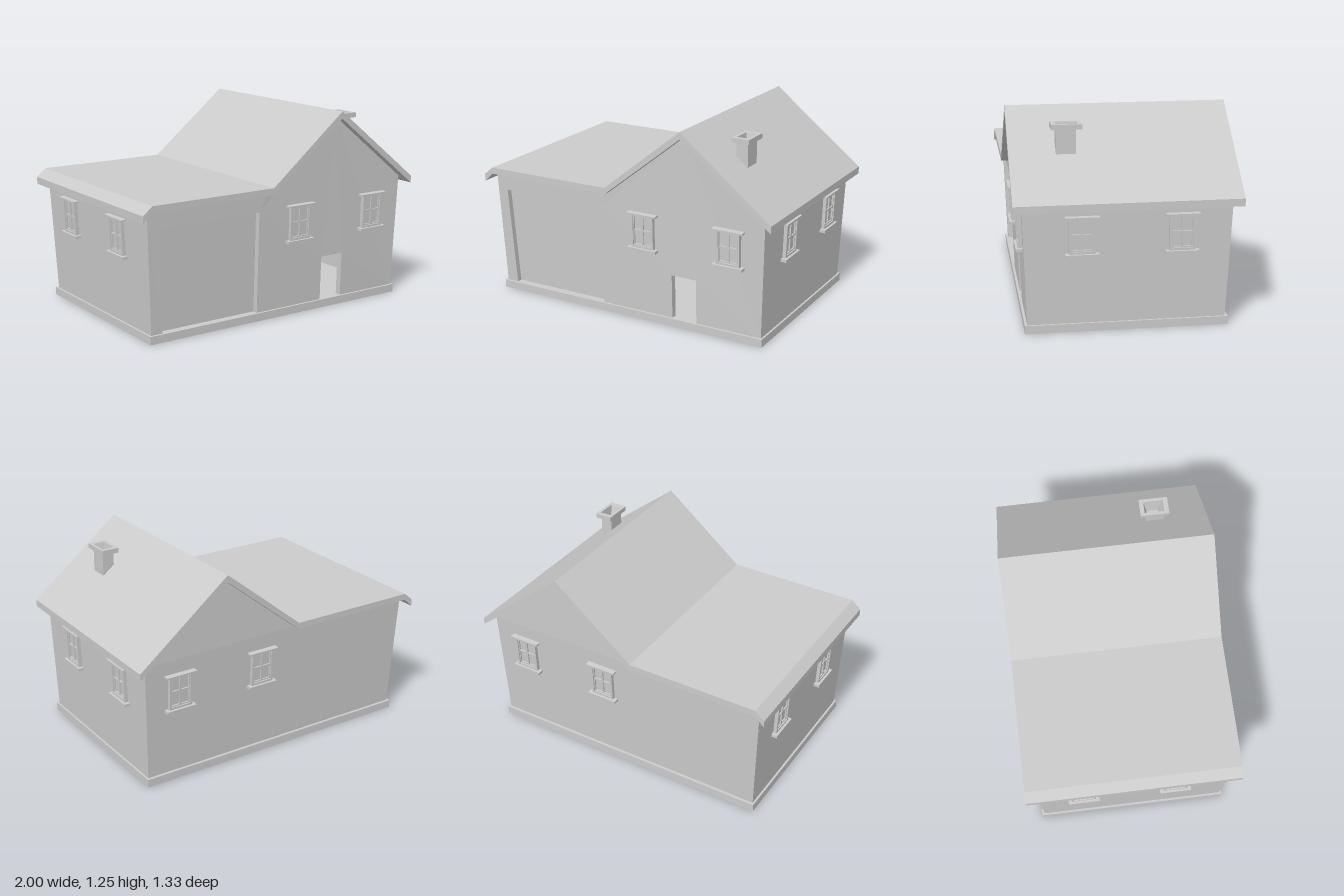
import * as THREE from 'three';

const material = new THREE.MeshStandardMaterial({ color: 0xcccccc, flatShading: true });
const BASE = 0.05, EAVE = 0.78, WALL = 0.04;

function mesh(name, geometry) {
  const m = new THREE.Mesh(geometry, material);
  m.name = name;
  return m;
}

function box(name, w, h, d, x, y, z) {
  const m = mesh(name, new THREE.BoxGeometry(w, h, d));
  m.position.set(x, y, z);
  return m;
}

const shapeOf = (points) => new THREE.Shape(points.map(([x, y]) => new THREE.Vector2(x, y)));

function rectPath(x0, x1, y0, y1) {
  return new THREE.Path([[x0, y0], [x0, y1], [x1, y1], [x1, y0]].map((p) => new THREE.Vector2(...p)));
}

function extrude(shape, depth, z = 0) {
  return new THREE.ExtrudeGeometry(shape, { depth, bevelEnabled: false }).translate(0, 0, z);
}

// Distance of a leaning wall's outer face at height y
function lean(y, bottom, top) {
  const t = Math.min(1, (y - BASE) / (EAVE - BASE));
  return bottom + (top - bottom) * t;
}

// Extruded wall, sheared so that it leans outwards up to the eaves
function wall(name, points, bottom, top, inset = 0, thickness = WALL) {
  const g = extrude(shapeOf(points), thickness, -thickness - inset);
  const p = g.attributes.position;
  for (let i = 0; i < p.count; i++) p.setZ(i, p.getZ(i) + lean(p.getY(i), bottom, top));
  g.computeVertexNormals();
  return mesh(name, g);
}

// Closed solid through rectangular rings [x0, x1, z0, z1, y]
function loft(rings) {
  const pos = [];
  const corners = rings.map(([x0, x1, z0, z1, y]) => [[x0, y, z1], [x1, y, z1], [x1, y, z0], [x0, y, z0]]);
  const quad = (a, b, c, d) => pos.push(...a, ...b, ...c, ...a, ...c, ...d);
  for (let i = 0; i < corners.length - 1; i++) {
    for (let j = 0; j < 4; j++) {
      const k = (j + 1) % 4;
      quad(corners[i][j], corners[i][k], corners[i + 1][k], corners[i + 1][j]);
    }
  }
  quad(...corners[corners.length - 1]);
  quad(...[...corners[0]].reverse());
  const g = new THREE.BufferGeometry();
  g.setAttribute('position', new THREE.Float32BufferAttribute(pos, 3));
  g.computeVertexNormals();
  return g;
}

// Four-pane window, centred on its own origin and facing +z
function createWindow() {
  const g = new THREE.Group();
  g.name = 'window';
  const frame = shapeOf([[-0.076, -0.105], [0.076, -0.105], [0.076, 0.108], [-0.076, 0.108]]);
  frame.holes.push(rectPath(-0.062, 0.062, -0.092, 0.1));
  const sash = shapeOf([[-0.062, -0.092], [0.062, -0.092], [0.062, 0.1], [-0.062, 0.1]]);
  for (const x of [-0.031, 0.031]) {
    for (const y of [-0.043, 0.05]) sash.holes.push(rectPath(x - 0.025, x + 0.025, y - 0.041, y + 0.041));
  }
  g.add(
    mesh('windowFrame', extrude(frame, 0.028, -0.006)),
    mesh('windowSash', extrude(sash, 0.02, -0.006)),
    box('windowPane', 0.124, 0.192, 0.01, 0, 0.004, 0),
    box('windowLintel', 0.2, 0.011, 0.041, 0, 0.11, 0.0145),
    box('windowSill', 0.196, 0.018, 0.043, 0, -0.114, 0.0155),
  );
  return g;
}

// One side of the house: wall parts plus windows, turned about y
function side(name, angle, bottom, top, parts, windowsAt) {
  const g = new THREE.Group();
  g.name = name;
  g.add(...parts);
  for (const u of windowsAt) {
    const w = createWindow();
    w.position.set(u, 0.581, lean(0.581, bottom, top));
    w.rotation.x = Math.atan2(top - bottom, EAVE - BASE);
    g.add(w);
  }
  g.rotation.y = angle;
  return g;
}

export function createModel() {
  const house = new THREE.Group();
  house.name = 'house';

  // Plinth, also the floor
  house.add(box('plinth', 1.855, BASE, 1.195, 0.0025, BASE / 2, 0.0025));

  // Front wall with garage and door openings
  const gable = [[0.918, BASE], [0.94, EAVE], [0.415, 1.2], [-0.1, 0.79], [-0.944, 0.79], [-0.912, BASE]];
  const openings = [[-0.835, BASE], [-0.87, 0.68], [-0.165, 0.68], [-0.165, BASE],
    [0.325, BASE], [0.325, 0.33], [0.49, 0.33], [0.49, BASE]];
  const garage = [[-0.88, BASE], [-0.15, BASE], [-0.15, 0.7], [-0.88, 0.7]];
  house.add(side('frontSide', 0, 0.585, 0.61, [
    wall('frontWall', [...gable, ...openings], 0.585, 0.61),
    wall('garageDoor', garage, 0.585, 0.61, 0.035, 0.015),
  ], [0.136, 0.711]));

  // Back wall
  const backGable = gable.map(([x, y]) => [-x, y]).reverse();
  house.add(side('backSide', Math.PI, 0.577, 0.61,
    [wall('backWall', backGable, 0.577, 0.61)], [-0.136, -0.711]));

  // End walls, their edges tucked into the front and back walls
  const end = (s) => {
    const pts = [[-0.565, BASE], [0.558, BASE], [0.59, EAVE], [-0.59, EAVE]];
    return s > 0 ? pts : pts.map(([u, y]) => [-u, y]).reverse();
  };
  house.add(side('leftSide', Math.PI / 2, 0.918, 0.94,
    [wall('leftWall', end(1), 0.918, 0.94)], [-0.268, 0.311]));
  house.add(side('rightSide', -Math.PI / 2, 0.912, 0.944,
    [wall('rightWall', end(-1), 0.912, 0.944)], [0.268, -0.311]));

  // Roof slab: low garage roof running into the pitched roof
  const roof = shapeOf([[-1, 0.735], [-0.94, 0.79], [-0.1, 0.79], [0.415, 1.2], [1, 0.735],
    [1, 0.78], [0.415, 1.245], [-0.1, 0.83], [-0.94, 0.83], [-1, 0.78]]);
  house.add(mesh('roof', extrude(roof, 1.325, -0.6625)));

  // Chimney with a projecting cap and a tapered flue
  house.add(mesh('chimney', loft([
    [0.64, 0.715, 0.272, 0.389, 0.97],
    [0.64, 0.715, 0.272, 0.389, 1.152],
    [0.621, 0.734, 0.238, 0.417, 1.152],
    [0.621, 0.734, 0.238, 0.417, 1.182],
    [0.64, 0.715, 0.265, 0.388, 1.182],
    [0.655, 0.702, 0.287, 0.36, 1.08],
  ])));

  return house;
}
